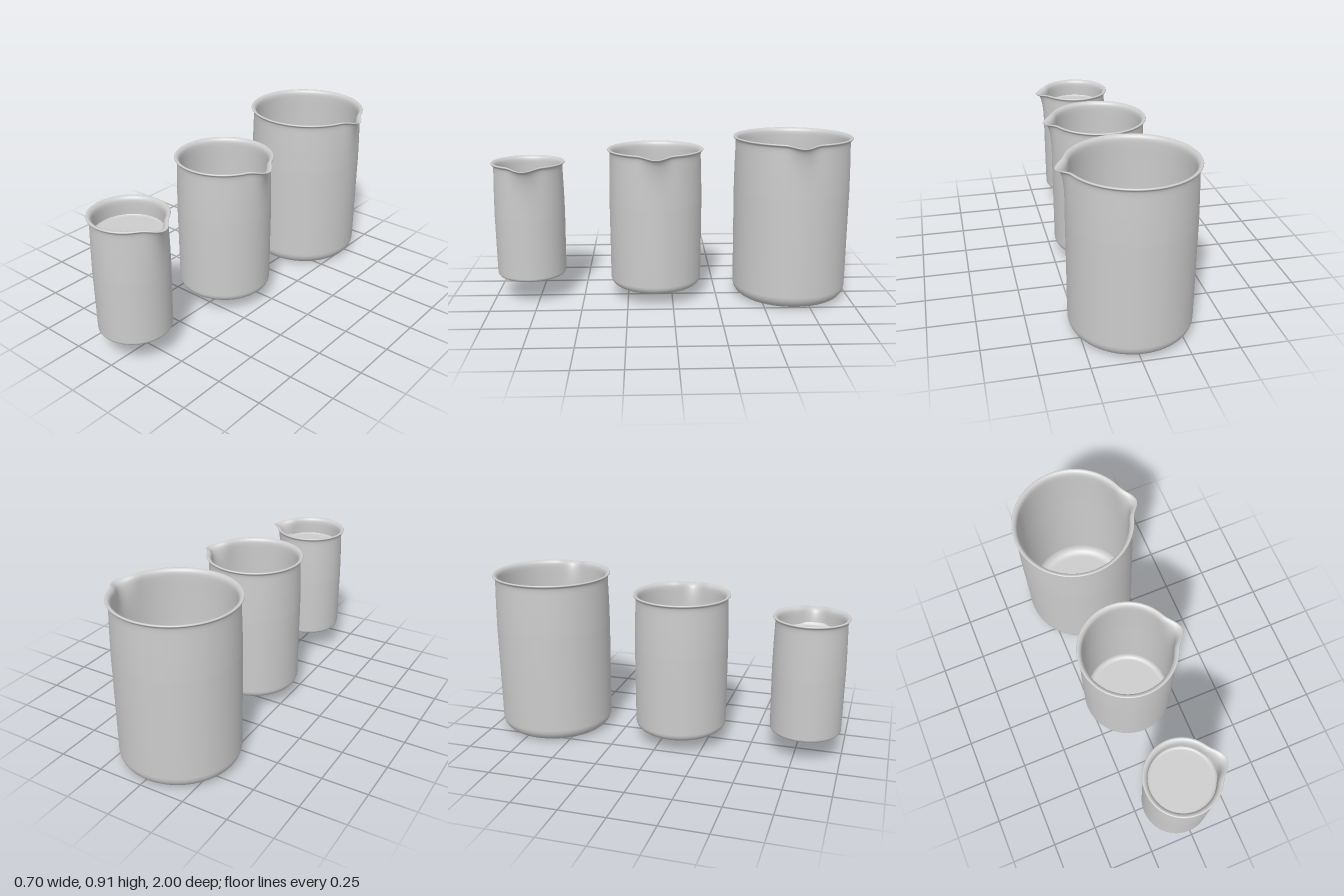
import * as THREE from 'three';
import { mergeVertices } from 'three/addons/utils/BufferGeometryUtils.js';

const grey = new THREE.MeshStandardMaterial({ color: 0xcccccc });
const WALL = 0.015;

// Rounded corner between floor and wall, running from floor to wall
function corner(r, y, c) {
  const pts = [];
  for (let i = 0; i <= 10; i++) {
    const a = (i / 10) * Math.PI / 2;
    pts.push(new THREE.Vector2(r - c + c * Math.sin(a), y + c - c * Math.cos(a)));
  }
  return pts;
}

// Turned profile: outside from the base up, over the flared lip, and down the inside
function beakerProfile(R, y0, y1, c) {
  const V = (r, y) => new THREE.Vector2(r, y);
  const base = [V(0, y0), V((R - c) * 0.95, y0), ...corner(R - 0.003, y0, c)];
  const lip = new THREE.SplineCurve([
    [0, 0.3], [-0.002, 0.18], [-0.005, 0.08], [-0.006, 0.035], [-0.003, 0.017],
    [0.005, 0.010], [0.008, 0.005], [0.005, 0.0005], [-0.003, 0.001],
    [-0.013, 0.009], [-0.019, 0.025], [-0.02, 0.06], [-0.018, 0.15], [-0.016, 0.3],
  ].map(([dr, h]) => V(R + dr, y1 - h))).getPoints(65);
  const ci = Math.max(c - WALL, 0.012);
  const inside = [V(0, y0 + WALL), V((R - WALL - ci) * 0.95, y0 + WALL),
    ...corner(R - WALL - 0.002, y0 + WALL, ci)].reverse();
  return [...base, ...lip, ...inside];
}

// Pull the upper wall and lip outward into a pouring spout on the +x side
function pullSpout(geo, R, top, reach) {
  const p = geo.attributes.position;
  const halfAngle = 0.125 / R;
  for (let i = 0; i < p.count; i++) {
    const x = p.getX(i), y = p.getY(i), z = p.getZ(i);
    const r = Math.hypot(x, z), a = Math.atan2(z, x);
    if (r < R * 0.8 || Math.abs(a) > halfAngle) continue;
    const w = Math.pow(0.5 + 0.5 * Math.cos(Math.PI * a / halfAngle), 1.7);
    const h = top - y;
    const s = 1 + (reach * w * Math.exp(-h / 0.08)) / r;
    p.setXYZ(i, x * s, y - 0.014 * w * Math.exp(-h / 0.04), z * s);
  }
}

function beaker(name, R, y0, y1, c, reach) {
  let geo = new THREE.LatheGeometry(beakerProfile(R, y0, y1, c), 192, -Math.PI / 2);
  geo.deleteAttribute('uv');
  geo.deleteAttribute('normal');
  pullSpout(geo, R, y1, reach);
  geo = mergeVertices(geo, 1e-5);
  geo.computeVertexNormals();
  const mesh = new THREE.Mesh(geo, grey);
  mesh.name = name;
  return mesh;
}

export function createModel() {
  const model = new THREE.Group();
  model.name = 'beakerSet';

  // name, wall radius, base, top, corner radius, spout reach, z
  const sizes = [
    ['largeBeaker', 0.322, 0, 0.911, 0.07, 0.042, -0.672],
    ['mediumBeaker', 0.258, 0.07, 0.846, 0.045, 0.044, 0.092],
    ['smallBeaker', 0.195, 0.133, 0.776, 0.018, 0.044, 0.797],
  ];
  for (const [name, R, y0, y1, c, reach, z] of sizes) {
    const b = beaker(name, R, y0, y1, c, reach);
    b.position.set(-0.022, 0, z);
    model.add(b);
  }

  // Liquid in the small beaker, its edge curving up the wall
  const surface = [[0.181, 0.688], [0.176, 0.679], [0.169, 0.674], [0.16, 0.672], [0, 0.672]]
    .map(([r, y]) => new THREE.Vector2(r, y));
  const liquid = new THREE.Mesh(new THREE.LatheGeometry(surface, 96), grey);
  liquid.name = 'liquidSurface';
  liquid.position.set(-0.022, 0, 0.797);
  model.add(liquid);

  return model;
}
